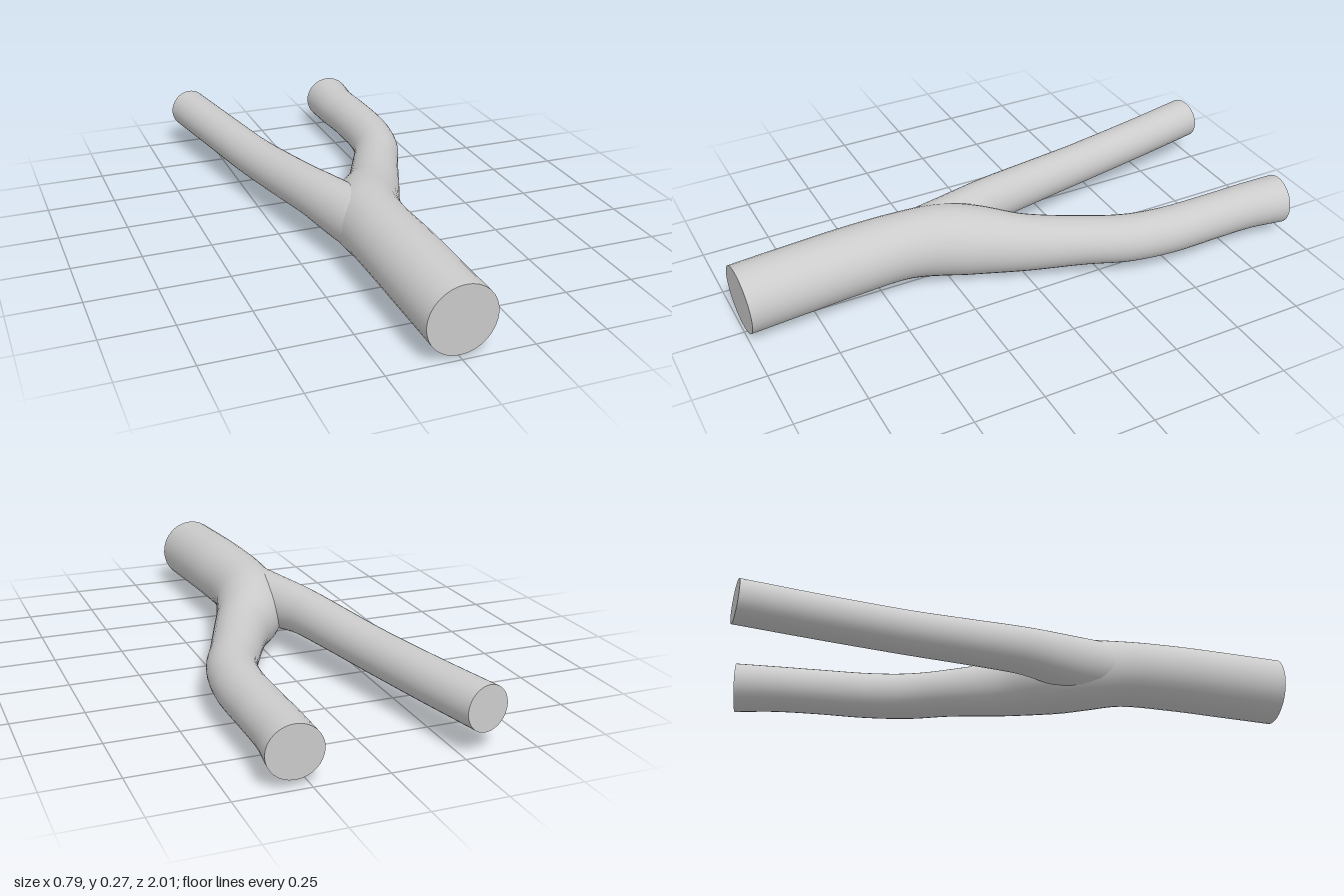
import * as THREE from 'three';

const material = new THREE.MeshStandardMaterial({ color: 0xcccccc });
const SIDES = 32;

// Smooth tube through stations [x, y, z, horizontal radius, vertical radius], with flat end caps
function vessel(name, stations, steps) {
  const path = new THREE.CatmullRomCurve3(stations.map(([x, y, z]) => new THREE.Vector3(x, y, z)));
  const radii = new THREE.CatmullRomCurve3(stations.map(([, , , rx, ry]) => new THREE.Vector3(rx, ry, 0)),
    false, 'catmullrom', 0.5);
  const positions = [], indices = [];
  const up = new THREE.Vector3(0, 1, 0);
  const rings = [];

  for (let i = 0; i <= steps; i++) {
    const t = i / steps;
    const centre = path.getPoint(t), r = radii.getPoint(t), tangent = path.getTangent(t);
    const side = new THREE.Vector3().crossVectors(up, tangent).normalize();
    const rise = new THREE.Vector3().crossVectors(tangent, side);
    const ring = [];
    for (let j = 0; j < SIDES; j++) {
      const a = (j / SIDES) * Math.PI * 2;
      ring.push(centre.clone()
        .addScaledVector(side, Math.cos(a) * r.x)
        .addScaledVector(rise, Math.sin(a) * r.y));
    }
    rings.push({ centre, ring });
    ring.forEach((p) => positions.push(p.x, p.y, p.z));
  }

  // Wall
  for (let i = 0; i < steps; i++) {
    for (let j = 0; j < SIDES; j++) {
      const k = (j + 1) % SIDES;
      const a = i * SIDES + j, b = i * SIDES + k, c = a + SIDES, d = b + SIDES;
      indices.push(a, b, c, b, d, c);
    }
  }

  // Caps have their own vertices so their rims stay sharp
  [[rings[0], true], [rings[steps], false]].forEach(([{ centre, ring }, flip]) => {
    const base = positions.length / 3;
    [centre, ...ring].forEach((p) => positions.push(p.x, p.y, p.z));
    for (let j = 0; j < SIDES; j++) {
      const a = base + 1 + j, b = base + 1 + ((j + 1) % SIDES);
      if (flip) indices.push(base, b, a);
      else indices.push(base, a, b);
    }
  });

  const geometry = new THREE.BufferGeometry();
  geometry.setAttribute('position', new THREE.Float32BufferAttribute(positions, 3));
  geometry.setIndex(indices);
  geometry.computeVertexNormals();
  const mesh = new THREE.Mesh(geometry, material);
  mesh.name = name;
  return mesh;
}

export function createModel() {
  const group = new THREE.Group();
  group.name = 'forkedTube';

  // Thick trunk that runs on into the bent left branch
  group.add(vessel('trunkAndLeftBranch', [
    [-0.003, 0.142, 1.0, 0.121, 0.122],
    [-0.010, 0.150, 0.8, 0.121, 0.122],
    [-0.016, 0.157, 0.6, 0.121, 0.121],
    [-0.020, 0.156, 0.4, 0.119, 0.121],
    [-0.008, 0.143, 0.26, 0.126, 0.130],
    [0.030, 0.131, 0.15, 0.124, 0.126],
    [0.115, 0.124, 0.0, 0.100, 0.106],
    [0.208, 0.127, -0.2, 0.088, 0.089],
    [0.272, 0.129, -0.35, 0.086, 0.086],
    [0.298, 0.130, -0.5, 0.085, 0.085],
    [0.300, 0.130, -0.7, 0.083, 0.084],
    [0.296, 0.126, -0.85, 0.085, 0.085],
    [0.303, 0.122, -0.99, 0.092, 0.090],
  ], 96));

  // Slimmer, straighter right branch, rooted inside the trunk
  group.add(vessel('rightBranch', [
    [-0.035, 0.157, 0.45, 0.085, 0.085],
    [-0.047, 0.156, 0.33, 0.094, 0.100],
    [-0.064, 0.156, 0.24, 0.096, 0.102],
    [-0.090, 0.159, 0.15, 0.089, 0.097],
    [-0.116, 0.163, 0.06, 0.083, 0.090],
    [-0.133, 0.163, 0.0, 0.080, 0.086],
    [-0.177, 0.156, -0.2, 0.078, 0.081],
    [-0.217, 0.150, -0.4, 0.076, 0.078],
    [-0.270, 0.152, -0.7, 0.076, 0.077],
    [-0.323, 0.157, -0.988, 0.077, 0.077],
  ], 72));

  return group;
}
